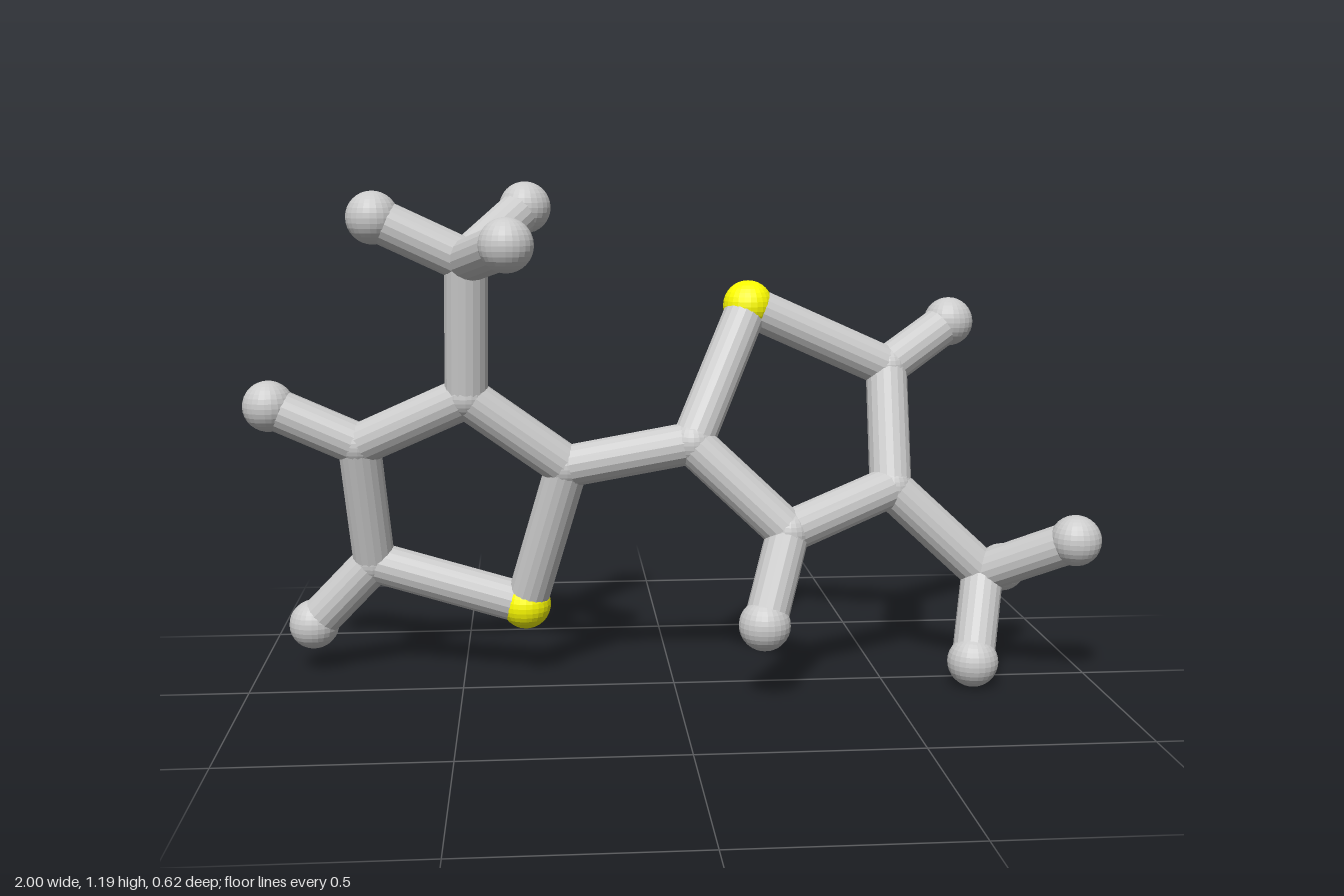
import * as THREE from 'three';

const BOND_RADIUS = 0.05;

// Atom centres: c = joint, h = end ball, s = yellow ball
const atoms = {
  // left ring
  cA2: [-0.25, 0.53, -0.025], cA3: [-0.48, 0.7, 0.0], cA4: [-0.735, 0.58, -0.075],
  cA5: [-0.715, 0.28, -0.15], sA: [-0.35, 0.18, -0.104],
  hA4: [-0.943, 0.672, -0.085], hA5: [-0.867, 0.12, -0.18],
  // left ring's three-armed branch
  cAM: [-0.473, 1.015, 0.035], hAM1: [-0.68, 1.112, 0.033],
  hAM2: [-0.34, 1.13, -0.117], hAM3: [-0.38, 1.06, 0.25],
  // right ring
  cB2: [0.04, 0.59, 0.025], cB3: [0.26, 0.385, 0.075], cB4: [0.525, 0.465, -0.045],
  cB5: [0.535, 0.74, -0.17], sB: [0.19, 0.895, -0.145],
  hB3: [0.197, 0.185, 0.152], hB5: [0.705, 0.843, -0.248],
  // right ring's three-armed branch
  cBM: [0.752, 0.255, -0.03], hBM1: [0.935, 0.36, 0.107],
  hBM2: [0.855, 0.217, -0.23], hBM3: [0.705, 0.065, 0.08],
};

const bonds = [
  'cA2 cA3', 'cA3 cA4', 'cA4 cA5', 'cA5 sA', 'sA cA2', 'cA4 hA4', 'cA5 hA5',
  'cA3 cAM', 'cAM hAM1', 'cAM hAM2', 'cAM hAM3',
  'cA2 cB2',
  'cB2 cB3', 'cB3 cB4', 'cB4 cB5', 'cB5 sB', 'sB cB2', 'cB3 hB3', 'cB5 hB5',
  'cB4 cBM', 'cBM hBM1', 'cBM hBM2', 'cBM hBM3',
];

export function createModel() {
  const model = new THREE.Group();
  model.name = 'molecule';
  const grey = new THREE.MeshStandardMaterial({ color: 0xcccccc, flatShading: true });
  const yellow = new THREE.MeshStandardMaterial({ color: 0xffff00, flatShading: true });

  // Ball styles by first letter of the atom key
  const ball = (r) => new THREE.SphereGeometry(r, 24, 16);
  const styles = {
    c: { name: 'carbonJoint', geometry: ball(0.052), material: grey },
    h: { name: 'hydrogenBall', geometry: ball(0.06), material: grey },
    s: { name: 'sulfurBall', geometry: ball(0.06), material: yellow },
  };
  for (const [key, position] of Object.entries(atoms)) {
    const { name, geometry, material } = styles[key[0]];
    const mesh = new THREE.Mesh(geometry, material);
    mesh.name = name;
    mesh.position.set(...position);
    model.add(mesh);
  }

  // Bond rods from centre to centre
  const up = new THREE.Vector3(0, 1, 0);
  for (const pair of bonds) {
    const [a, b] = pair.split(' ').map((k) => new THREE.Vector3(...atoms[k]));
    const direction = b.clone().sub(a);
    const length = direction.length();
    const rod = new THREE.Mesh(
      new THREE.CylinderGeometry(BOND_RADIUS, BOND_RADIUS, length, 18, 1, true), grey);
    rod.name = 'bond';
    rod.position.copy(a).add(b).multiplyScalar(0.5);
    rod.quaternion.setFromUnitVectors(up, direction.normalize());
    model.add(rod);
  }
  return model;
}
